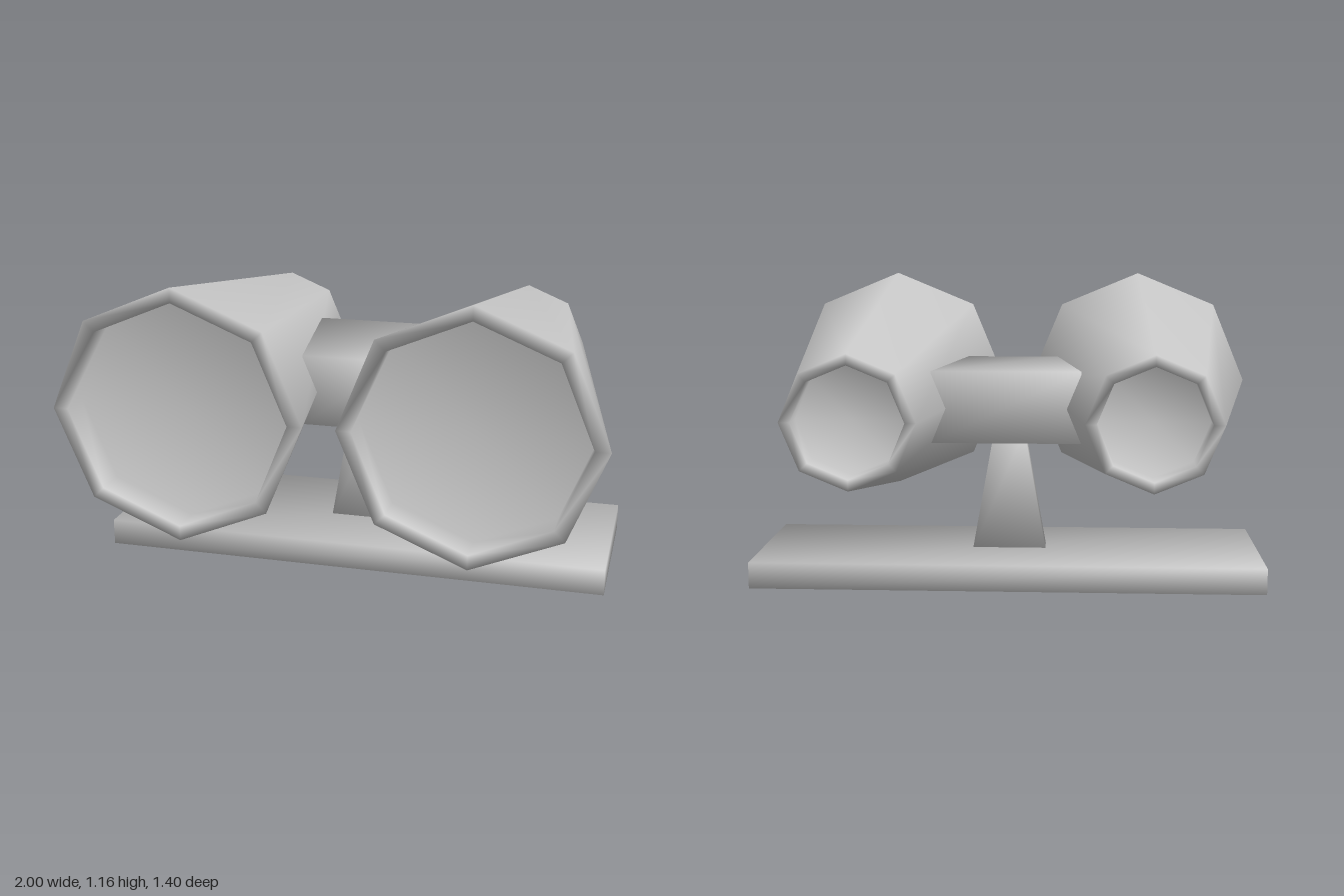
import * as THREE from 'three';

const material = new THREE.MeshStandardMaterial({ color: 0xcccccc });

function addPart(group, name, geometry, x, y, z) {
  const mesh = new THREE.Mesh(geometry, material);
  mesh.name = name;
  mesh.position.set(x, y, z);
  group.add(mesh);
  return mesh;
}

// Box with softly blended corner normals; scaleX(sx, sy, sz) tapers its width
function softBox(w, h, d, scaleX = () => 1) {
  const geometry = new THREE.BoxGeometry(w, h, d);
  const pos = geometry.attributes.position;
  const n = new THREE.Vector3();
  for (let i = 0; i < pos.count; i++) {
    n.set(Math.sign(pos.getX(i)), Math.sign(pos.getY(i)), Math.sign(pos.getZ(i)));
    pos.setX(i, pos.getX(i) * scaleX(n.x, n.y, n.z));
    n.normalize();
    geometry.attributes.normal.setXYZ(i, n.x, n.y, n.z);
  }
  return geometry;
}

export function createModel() {
  const model = new THREE.Group();
  model.name = 'binocularsOnStand';

  // Eight-sided tapered barrels with a recess at both ends
  const profile = [
    [0, -0.6], [0.2, -0.6], [0.2, -0.7], [0.24, -0.7],
    [0.47, 0.7], [0.415, 0.7], [0.415, 0.58], [0, 0.58],
  ].map(([r, h]) => new THREE.Vector2(r, h));
  const barrel = new THREE.LatheGeometry(profile, 8);
  barrel.rotateX(Math.PI / 2);
  addPart(model, 'leftBarrel', barrel, 0.53, 0.69, 0);
  addPart(model, 'rightBarrel', barrel, -0.53, 0.69, 0);

  // Bridge joining the barrels, wider at the back
  const bridge = softBox(0.56, 0.27, 0.59, (sx, sy, sz) => (sz > 0 ? 0.66 : 1));
  addPart(model, 'bridge', bridge, 0, 0.695, -0.015);

  // Post, narrowing upwards
  const post = softBox(0.29, 0.48, 0.085, (sx, sy) => (sy > 0 ? 0.41 : 1));
  addPart(model, 'post', post, 0, 0.33, -0.0125);

  // Flat base plate
  addPart(model, 'base', softBox(1.956, 0.1, 0.665), 0, 0.05, -0.015);

  return model;
}
